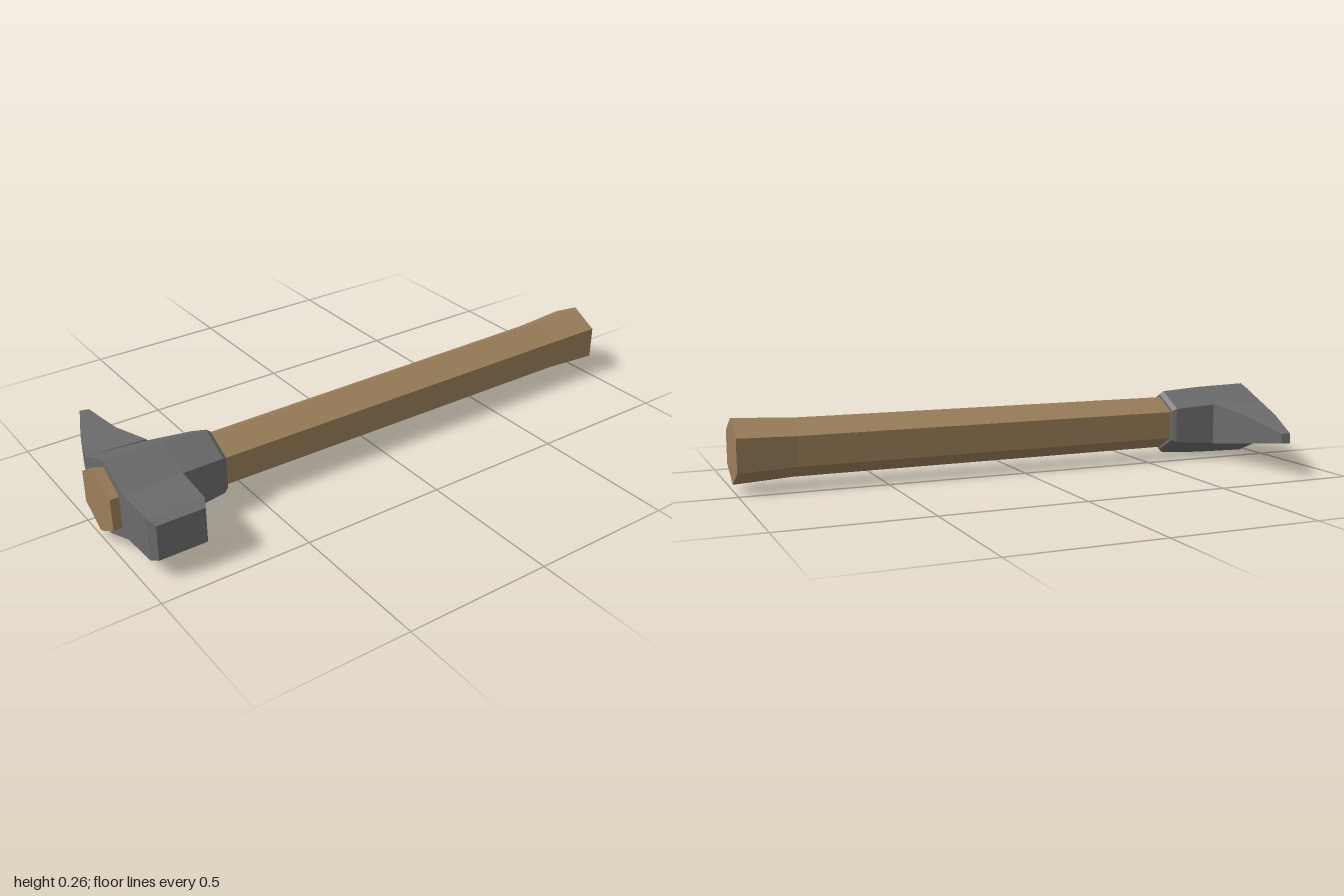
import * as THREE from 'three';

const CX = 0.105, CY = 0.135;

// Skin a list of closed rings (counter-clockwise about the loft direction), with flat end caps
function loft(rings) {
  const pos = [];
  const tri = (...pts) => pts.forEach(p => pos.push(...p));
  const n = rings[0].length;
  for (let s = 0; s < rings.length - 1; s++) {
    const a = rings[s], b = rings[s + 1];
    for (let i = 0; i < n; i++) {
      const j = (i + 1) % n;
      tri(a[i], a[j], b[j]);
      tri(a[i], b[j], b[i]);
    }
  }
  const first = rings[0], last = rings[rings.length - 1];
  for (let i = 1; i < n - 1; i++) {
    tri(first[0], first[i + 1], first[i]);
    tri(last[0], last[i], last[i + 1]);
  }
  const g = new THREE.BufferGeometry();
  g.setAttribute('position', new THREE.Float32BufferAttribute(pos, 3));
  g.computeVertexNormals();
  return g;
}

// Hexagon at depth z: half width, half height, half height of the upright sides
const hexRing = ([z, w, h, s]) => [
  [w, -s], [w, s], [0, h], [-w, s], [-w, -s], [0, -h],
].map(([x, y]) => [CX + x, CY + y, z]);

// Rectangle crossing the x axis: half height, back and front z, with a slant of the end in x
const rectRing = ([xBack, xFront, h, back, front]) => [
  [xBack, CY - h, back], [xBack, CY + h, back],
  [xFront, CY + h, front], [xFront, CY - h, front],
];

export function createModel() {
  const wood = new THREE.MeshStandardMaterial({ color: 0x9b7f59 });
  wood.name = 'wood';
  const steel = new THREE.MeshStandardMaterial({ color: 0x6b6b6b });
  steel.name = 'steel';

  const group = new THREE.Group();
  group.name = 'hammer';
  const add = (name, geometry, material) => {
    const mesh = new THREE.Mesh(geometry, material);
    mesh.name = name;
    group.add(mesh);
  };

  // Six-sided handle, flared at the grip end and at the end wedged through the head
  add('handle', loft([
    [-1, 0.098, 0.111, 0.057],
    [-0.8, 0.088, 0.1, 0.051],
    [0.6, 0.083, 0.096, 0.049],
    [1, 0.098, 0.111, 0.055],
  ].map(hexRing)), wood);

  // Six-sided socket with a small bevel at the back
  add('socket', loft([
    [0.605, 0.093, 0.106, 0.055],
    [0.62, 0.102, 0.118, 0.063],
    [0.77, 0.118, 0.127, 0.073],
    [0.97, 0.135, 0.132, 0.077],
  ].map(hexRing)), steel);

  // Tapering claw
  add('claw', loft([
    [-0.4, -0.409, 0.017, 0.8, 0.83],
    [-0.18, -0.2, 0.051, 0.8, 0.915],
    [-0.013, -0.03, 0.077, 0.77, 0.97],
  ].map(rectRing)), steel);

  // Square striking face with a bevelled end
  add('strikingFace', loft([
    [0.223, 0.24, 0.077, 0.77, 0.97],
    [0.375, 0.375, 0.073, 0.778, 0.966],
    [0.406, 0.406, 0.06, 0.793, 0.953],
  ].map(rectRing)), steel);

  return group;
}
